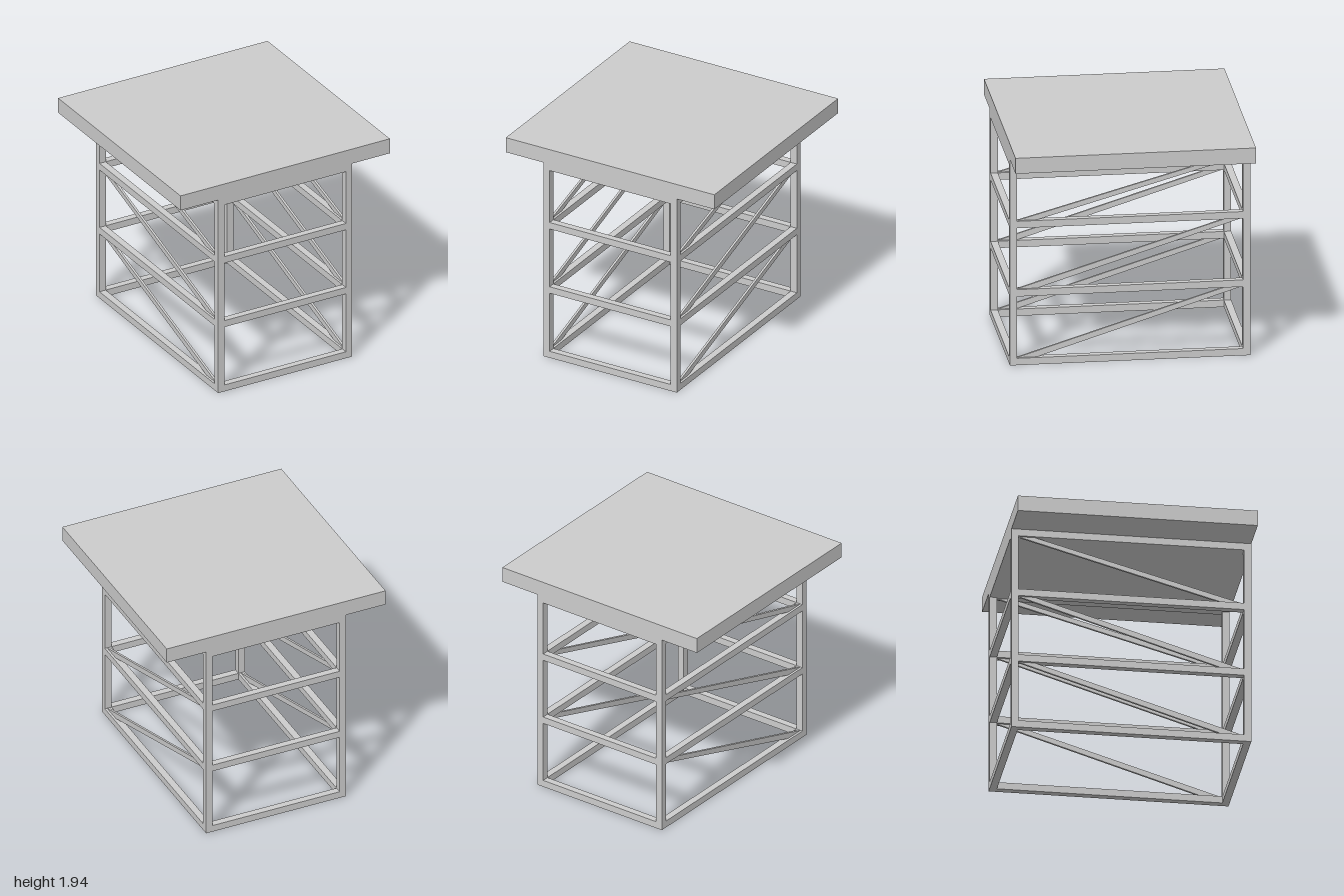
import * as THREE from 'three';

const BAR = 0.06;            // square tube size
const HX = 0.64, HZ = 1;     // outer half sizes of the frame
const DECK_Y = 1.74, SLAB_Y = 1.8, TOP_Y = 1.935;
const LEVELS = [0, 0.6, 1.197]; // underside of each ring of rails

export function createModel() {
  const model = new THREE.Group();
  const material = new THREE.MeshStandardMaterial({ color: 0xcccccc, flatShading: true });

  function add(name, geometry, x, y, z) {
    const mesh = new THREE.Mesh(geometry, material);
    mesh.name = name;
    mesh.position.set(x, y, z);
    model.add(mesh);
  }
  const box = (name, w, h, d, x, y, z) => add(name, new THREE.BoxGeometry(w, h, d), x, y, z);

  // Top slab and the solid deck closing the frame beneath it
  box('topSlab', 2, TOP_Y - SLAB_Y, 2, 0, (TOP_Y + SLAB_Y) / 2, 0);
  box('deck', 2 * HX, SLAB_Y - DECK_Y, 2 * HZ, 0, (SLAB_Y + DECK_Y) / 2, 0);

  const px = HX - BAR / 2, pz = HZ - BAR / 2;
  const ix = HX - BAR, iz = HZ - BAR;

  // Corner posts
  for (const sx of [-1, 1])
    for (const sz of [-1, 1])
      box('cornerPost', BAR, DECK_Y, BAR, sx * px, DECK_Y / 2, sz * pz);

  // Rings of rails between the posts
  for (const y of LEVELS)
    for (const s of [-1, 1]) {
      box('crossRail', 2 * ix, BAR, BAR, 0, y + BAR / 2, s * pz);
      box('sideRail', BAR, BAR, 2 * iz, s * px, y + BAR / 2, 0);
    }

  // Thin diagonal braces, cut flush with the rails, rising towards the back
  const depth = 0.02;
  LEVELS.forEach((level, i) => {
    const y0 = level + BAR, y1 = LEVELS[i + 1] ?? DECK_Y;
    // Outline drawn with shape x = -z
    const shape = new THREE.Shape([
      new THREE.Vector2(-iz, y0),
      new THREE.Vector2(-iz + 0.17, y0),
      new THREE.Vector2(iz, y1),
      new THREE.Vector2(iz - 0.14, y1),
    ]);
    for (const s of [-1, 1]) {
      const geometry = new THREE.ExtrudeGeometry(shape, { depth, bevelEnabled: false });
      geometry.translate(0, 0, -depth / 2).rotateY(Math.PI / 2);
      add('diagonalBrace', geometry, s * px, 0, 0);
    }
  });
  return model;
}
